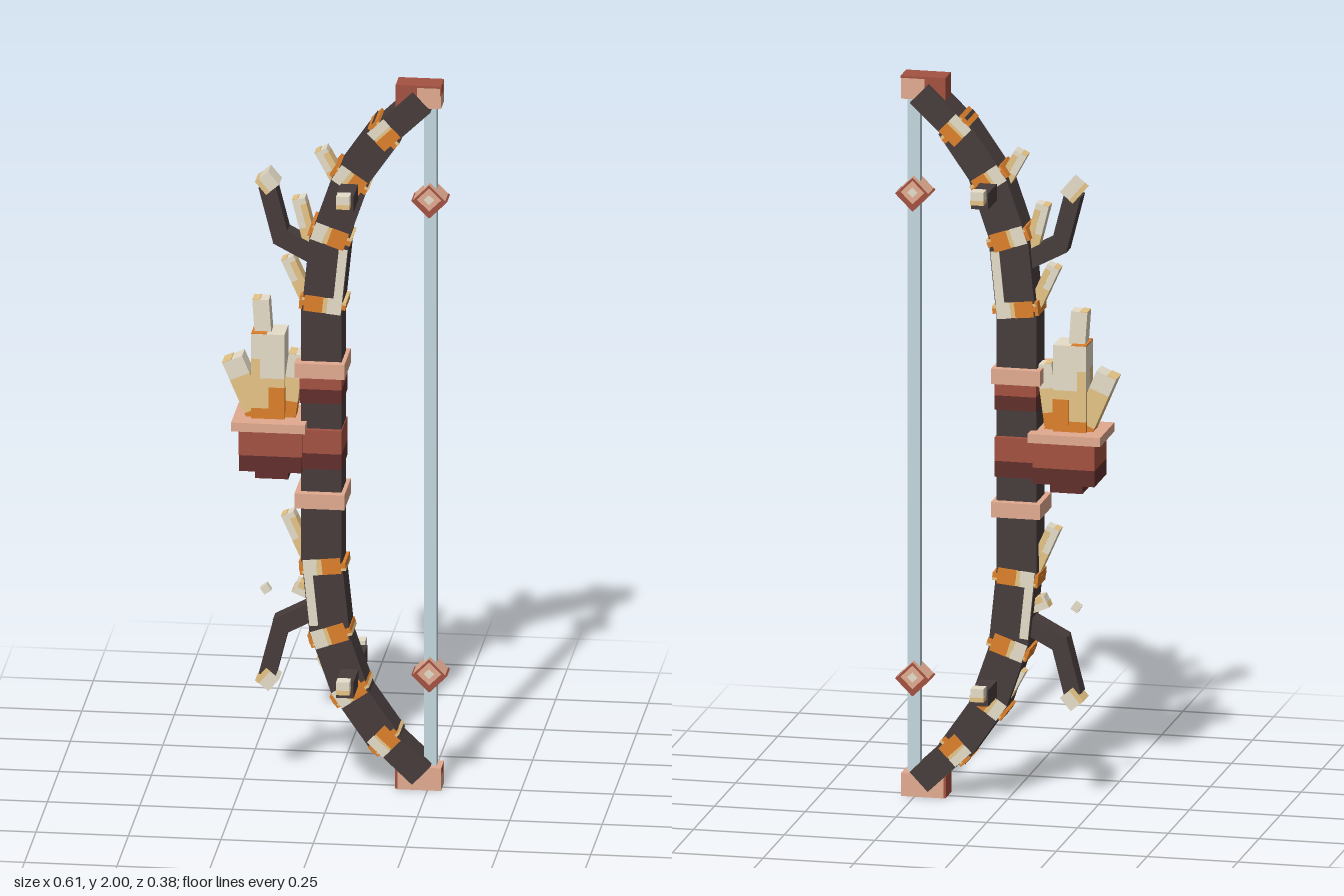
import * as THREE from 'three';

const paint = (name, color) => {
  const m = new THREE.MeshStandardMaterial({ color });
  m.name = name;
  return m;
};

export function createModel() {
  const dark = paint('charred wood', 0x473c3c);
  const cream = paint('bone cream', 0xe6ddc9);
  const tan = paint('bone tan', 0xe6c486);
  const orange = paint('ember orange', 0xdd802c);
  const pink = paint('pale copper', 0xe2ab90);
  const red = paint('rust red', 0xa35241);
  const maroon = paint('deep maroon', 0x612f2c);
  const steel = paint('string blue', 0xc4d7e0);

  const model = new THREE.Group();

  // Axis-aligned box given by centre and size
  function box(name, mat, x, y, z, w, h, d, parent = model) {
    const m = new THREE.Mesh(new THREE.BoxGeometry(w, h, d), mat);
    m.name = name;
    m.position.set(x, y, z);
    parent.add(m);
    return m;
  }

  // Group whose local y runs from a to b, starting at a
  function along(name, a, b) {
    const g = new THREE.Group();
    g.name = name;
    g.position.set(a[0], a[1], 0);
    g.rotation.z = Math.atan2(b[1] - a[1], b[0] - a[0]) - Math.PI / 2;
    g.userData.length = Math.hypot(b[0] - a[0], b[1] - a[1]);
    model.add(g);
    return g;
  }

  function bar(name, mat, a, b, w, d, extra = 0) {
    const g = along(name, a, b), len = g.userData.length;
    box(name + 'Wood', mat, 0, len / 2, 0, w, len + extra, d, g);
    return g;
  }

  // Bone shard: glowing root fading to a pale tip, with a tinted patch on top
  function shard(name, a, b, w, d, cuts, capMat = tan) {
    const g = along(name, a, b), len = g.userData.length;
    const stops = [0, ...cuts, 1];
    [orange, tan, cream].forEach((mat, i) => {
      const h = (stops[i + 1] - stops[i]) * len;
      if (h > 0) box(name + 'Part', mat, 0, stops[i] * len + h / 2, 0, w, h, d, g);
    });
    box(name + 'Cap', capMat, -w * 0.27, len, 0, w * 0.46, 0.004, d * 0.98, g);
    return g;
  }

  // Grip and its wrappings
  box('grip', dark, -0.035, 1.0, 0, 0.11, 0.72, 0.094);
  for (const y of [1.19, 0.82]) box('gripCollar', pink, -0.037, y, 0, 0.135, 0.042, 0.14);
  for (const [y, h, mat] of [[1.153, 0.034, red], [1.116, 0.04, maroon], [0.987, 0.066, red], [0.932, 0.044, maroon]])
    box('gripWrap', mat, -0.035, y, 0, 0.114, h, 0.124);

  // Curved limbs, mirrored up and down
  const spine = [[-0.035, 0.34], [-0.012, 0.565], [0.045, 0.73], [0.135, 0.86], [0.235, 0.955]];
  const widths = [0.108, 0.1, 0.09, 0.072];
  const bandShift = [0.032, 0.002, -0.005, 0];
  const bandHeight = [0.044, 0.05, 0.05, 0.06];
  for (const s of [1, -1]) {
    const pts = spine.map(([x, y]) => [x, 1 + s * y]);
    for (let i = 0; i < 4; i++) {
      const [a, b] = s > 0 ? [pts[i], pts[i + 1]] : [pts[i + 1], pts[i]];
      const w = widths[i], limb = bar('limbSegment', dark, a, b, w, 0.094 - i * 0.001, i < 3 ? 0.03 : 0);
      const len = limb.userData.length;

      // Cracked band at the inner end of each segment
      const y = s > 0 ? bandShift[i] : len - bandShift[i];
      const h = bandHeight[i];
      const flip = s > 0 && i === 0 ? -1 : 1;
      box('bandRing', orange, 0, y, 0, w + 0.018, 0.014, 0.1, limb);
      box('bandRingPale', tan, 0.003, y + s * 0.01, 0, w + 0.012, 0.01, 0.098, limb);
      box('bandOuterFace', orange, -w / 2 - 0.004, y, 0, 0.009, 0.038, 0.096, limb);
      box('bandBone', cream, -flip * w * 0.3, y, 0, w * 0.36, h, 0.101, limb);
      box('bandBoneShade', tan, -flip * w * 0.08, y, 0, w * 0.14, h * 0.96, 0.101, limb);
      box('bandEmber', orange, flip * w * 0.22, y, 0, w * 0.48, h, 0.101, limb);

      // Pale strip on the front and back of the first segment
      if (i === 0) box('limbStrip', cream, s * w * 0.37, len / 2, 0, w * 0.22, len * 0.74, 0.099, limb);
    }

    // Limb tip blocks
    if (s > 0) {
      box('tipBlock', pink, 0.226, 1.965, 0, 0.122, 0.058, 0.064);
      box('tipCover', red, 0.226, 1.997, 0, 0.123, 0.006, 0.066);
      box('tipSide', red, 0.193, 1.967, 0, 0.058, 0.06, 0.066);
      box('tipCorner', red, 0.286, 1.985, 0.008, 0.004, 0.026, 0.05);
    } else {
      box('tipBlock', pink, 0.226, 0.032, 0, 0.122, 0.064, 0.064);
      box('tipSide', red, 0.166, 0.032, 0, 0.006, 0.06, 0.066);
      box('tipCorner', red, 0.286, 0.053, 0.016, 0.004, 0.018, 0.032);
    }

    // Diamond bead on the string
    const bead = new THREE.Group();
    bead.name = 'stringBead';
    bead.position.set(0.255, 1 + s * 0.673, 0);
    bead.rotation.z = Math.PI / 4;
    model.add(bead);
    box('beadBody', pink, 0, 0, 0, 0.066, 0.066, 0.062, bead);
    box('beadFrame', red, 0, 0, 0, 0.064, 0.064, 0.065, bead);
    box('beadFace', pink, 0.003, 0.003, 0, 0.046, 0.046, 0.067, bead);
    box('beadCore', cream, 0.003, 0.003, 0, 0.02, 0.02, 0.069, bead);
    box('beadEdge', red, -0.032, 0, 0, 0.006, 0.067, 0.064, bead);
    box('beadEdge', red, 0, -0.032, 0, 0.067, 0.006, 0.064, bead);

    // Cross peg with bone ends
    const pegY = s > 0 ? 1.697 : 0.318;
    box('crossPeg', dark, 0.042, pegY, 0, 0.047, 0.045, 0.31);
    for (const z of [-0.172, 0.172]) {
      box('pegEnd', cream, 0.041, pegY + 0.016, z, 0.036, 0.036, 0.036);
      box('pegEndBase', tan, 0.041, pegY + 0.004, z, 0.037, 0.013, 0.037);
    }

    // Forked twig with a bone tip
    const knee = [-0.148, 1 + s * 0.552], end = [-0.182, 1 + s * 0.685];
    bar('twigRoot', dark, [-0.04, 1 + s * 0.495], knee, 0.05, 0.056, 0.02);
    bar('twig', dark, knee, end, 0.046, 0.054, 0.02);
    const tip = box('twigTip', cream, -0.183, 1 + s * 0.705, 0, 0.046, 0.046, 0.06);
    tip.rotation.z = s * 0.7;
    box('twigTipShade', tan, -0.017, 0, 0, 0.013, 0.047, 0.062, tip);
  }

  // Bowstring
  box('bowstring', steel, 0.256, 1, 0, 0.034, 1.87, 0.028);

  // Spikes along the outer side of the limbs
  const spikes = [
    [[-0.06, 1.5], [-0.1, 1.66]],
    [[-0.075, 1.37], [-0.13, 1.49]],
    [[0.02, 1.69], [-0.04, 1.8]],
    [[-0.07, 0.63], [-0.13, 0.765]],
    [[0.015, 0.27], [-0.035, 0.365]],
    [[-0.04, 0.53], [-0.11, 0.56]],
  ];
  for (const [a, b] of spikes) {
    const g = shard('limbSpike', a, b, 0.036, 0.04, [0.12, 0.5]);
    const len = g.userData.length;
    box('spikeShade', tan, 0.01, len * 0.65, 0, 0.017, len * 0.5, 0.042, g);
  }
  const chip = box('boneChip', cream, -0.19, 0.545, 0, 0.022, 0.022, 0.022);
  chip.rotation.z = 0.6;

  // Brazier on the outer side of the grip
  box('brazierLip', pink, -0.174, 1.028, 0, 0.2, 0.025, 0.17);
  box('brazierBowl', red, -0.17, 0.98, 0, 0.172, 0.072, 0.142);
  box('brazierBase', maroon, -0.17, 0.922, 0, 0.17, 0.046, 0.14);
  box('brazierFoot', maroon, -0.17, 0.885, 0, 0.09, 0.03, 0.08);

  // Bone flames standing in the brazier
  const tall = shard('tallFlame', [-0.18, 1.03], [-0.18, 1.28], 0.09, 0.086, [0.16, 0.5], orange);
  box('flameGlow', orange, 0.024, 0.065, 0, 0.044, 0.07, 0.088, tall);
  box('flameFade', tan, -0.033, 0.15, 0, 0.024, 0.06, 0.088, tall);
  shard('flameTop', [-0.195, 1.27], [-0.202, 1.37], 0.045, 0.045, [0, 0]);
  shard('sideFlame', [-0.205, 1.03], [-0.278, 1.2], 0.058, 0.058, [0.18, 0.72]);
  shard('innerFlame', [-0.13, 1.03], [-0.105, 1.22], 0.042, 0.05, [0.3, 0.65]);

  return model;
}
